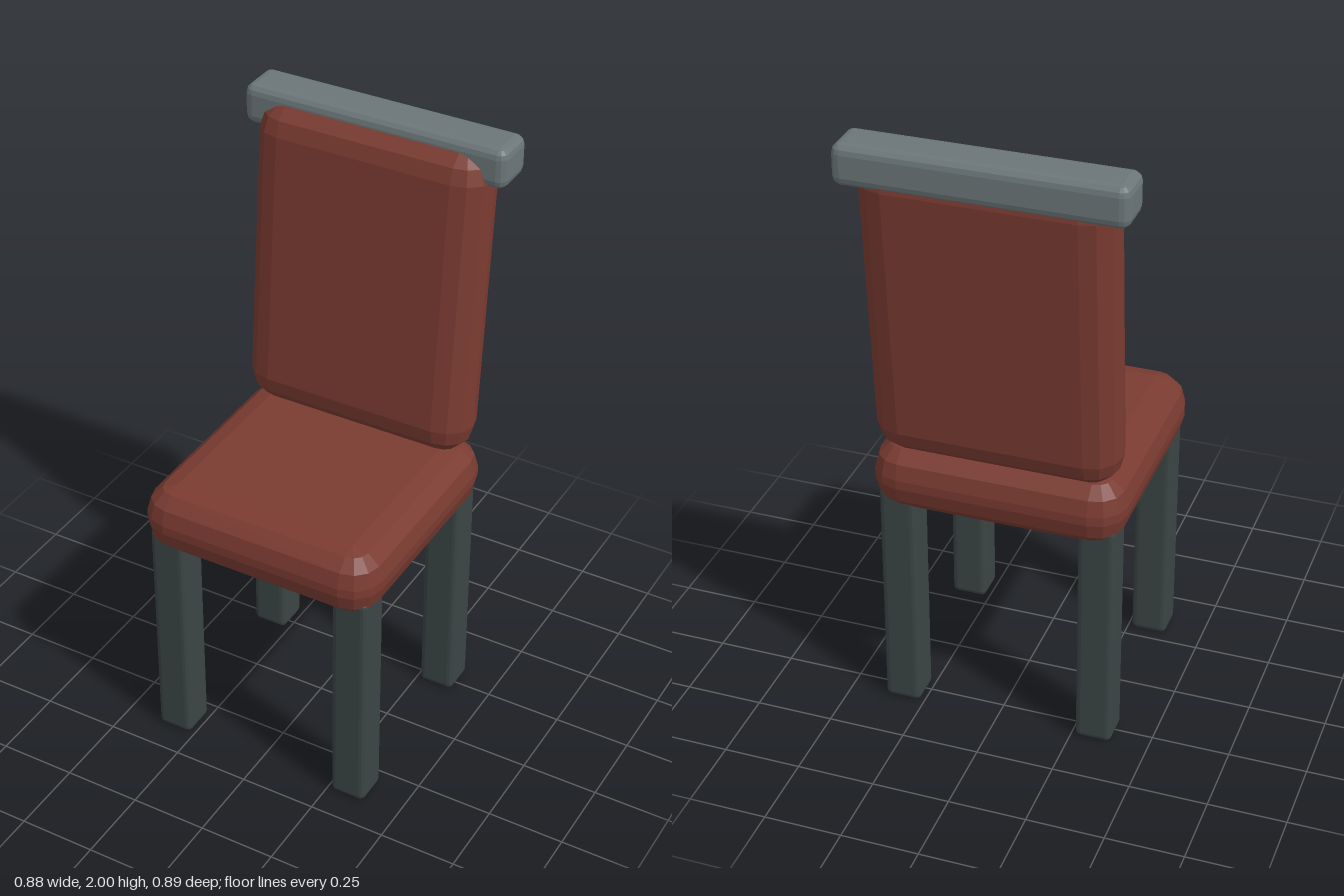
import * as THREE from 'three';
import { ConvexGeometry } from 'three/addons/geometries/ConvexGeometry.js';

// Box with three-step bevelled edges, flat shaded
function bevelBox(w, h, d, r) {
  const points = [];
  const steps = [0, 1, 2, 3].map((i) => (i * Math.PI) / 6);
  for (const sx of [-1, 1]) for (const sy of [-1, 1]) for (const sz of [-1, 1]) {
    for (const lat of steps) for (const lon of lat === steps[3] ? [0] : steps) {
      points.push(new THREE.Vector3(
        sx * (w / 2 - r + r * Math.cos(lat) * Math.cos(lon)),
        sy * (h / 2 - r + r * Math.sin(lat)),
        sz * (d / 2 - r + r * Math.cos(lat) * Math.sin(lon))
      ));
    }
  }
  return new ConvexGeometry(points);
}

export function createModel() {
  const group = new THREE.Group();
  const material = (name, color) => {
    const m = new THREE.MeshStandardMaterial({ color, flatShading: true });
    m.name = name;
    return m;
  };
  const upholstery = material('redUpholstery', 0x7a3b31);
  const rail = material('greyRail', 0x6b7678);
  const dark = material('darkLeg', 0x3b4444);

  const add = (name, geometry, mat, x, y, z) => {
    const mesh = new THREE.Mesh(geometry, mat);
    mesh.name = name;
    mesh.position.set(x, y, z);
    group.add(mesh);
    return mesh;
  };

  // Cushioned seat and reclined backrest
  add('seat', bevelBox(0.81, 0.23, 0.805, 0.1), upholstery, 0, 0.85, 0.04);
  const back = add('backrest', bevelBox(0.78, 1.03, 0.2, 0.098), upholstery, 0, 1.46, -0.302);
  back.rotation.x = THREE.MathUtils.degToRad(-5);

  // Rail across the top of the backrest
  add('topRail', bevelBox(0.88, 0.13, 0.15, 0.03), rail, 0, 1.935, -0.37);

  // Four legs, sunk into the seat
  const leg = bevelBox(0.118, 0.8, 0.118, 0.018);
  for (const [side, x] of [['Left', 0.322], ['Right', -0.322]]) {
    add('front' + side + 'Leg', leg, dark, x, 0.4, 0.345);
    add('back' + side + 'Leg', leg, dark, x, 0.4, -0.263);
  }
  return group;
}
